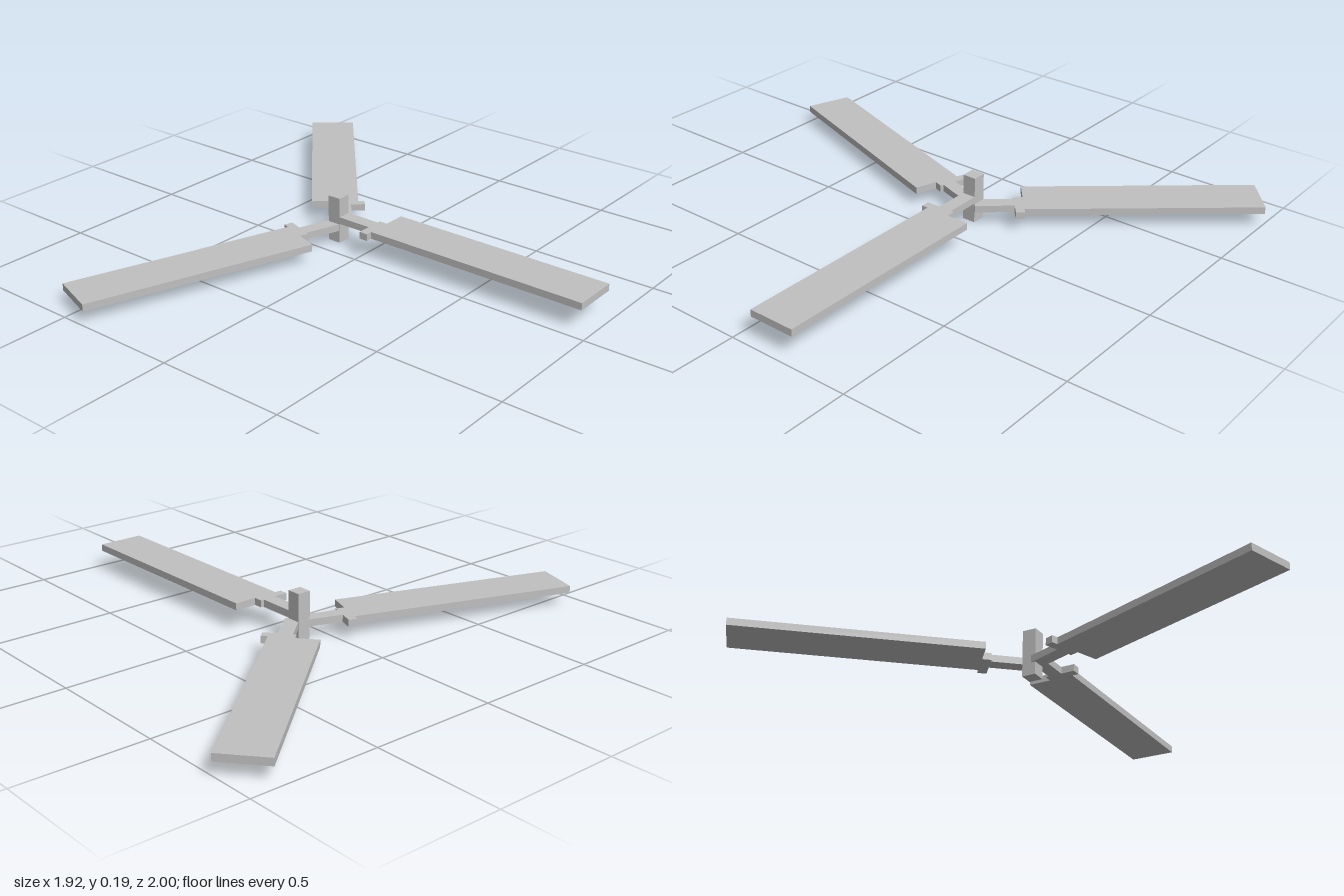
import * as THREE from 'three';

const grey = new THREE.MeshStandardMaterial({ color: 0xc0c0c0 });
grey.name = 'light grey';

// Box spanning the given minimum and maximum corners
function box(name, [x0, y0, z0], [x1, y1, z1]) {
  const mesh = new THREE.Mesh(new THREE.BoxGeometry(x1 - x0, y1 - y0, z1 - z0), grey);
  mesh.position.set((x0 + x1) / 2, (y0 + y1) / 2, (z0 + z1) / 2);
  mesh.name = name;
  return mesh;
}

// One rotor arm pointing along local +x, with its grip and offset blade
function createRotorArm(name, x, y, z, degrees) {
  const arm = new THREE.Group();
  arm.name = name;
  const h = 0.028;
  arm.add(
    box('arm', [0.02, 0, -0.0275], [0.172, h, 0.0275]),
    box('bladeGrip', [0.172, 0, -0.041], [0.207, h, 0.083]),
    box('blade', [0.207, 0, -0.131], [1.124, h, 0.057])
  );
  arm.position.set(x, y, z);
  arm.rotation.y = -THREE.MathUtils.degToRad(degrees);
  return arm;
}

export function createModel() {
  const model = new THREE.Group();
  model.name = 'rotor';

  // Square mast through the centre of the rotor
  model.add(box('mast', [-0.1945, 0, -0.1345], [-0.1395, 0.187, -0.0795]));

  // One upper blade and two lower blades
  model.add(
    createRotorArm('leftBlade', -0.167, 0.081, -0.107, 0),
    createRotorArm('frontBlade', -0.16, 0.05, -0.113, 109.3),
    createRotorArm('backBlade', -0.138, 0.05, -0.111, 229.6)
  );
  return model;
}
